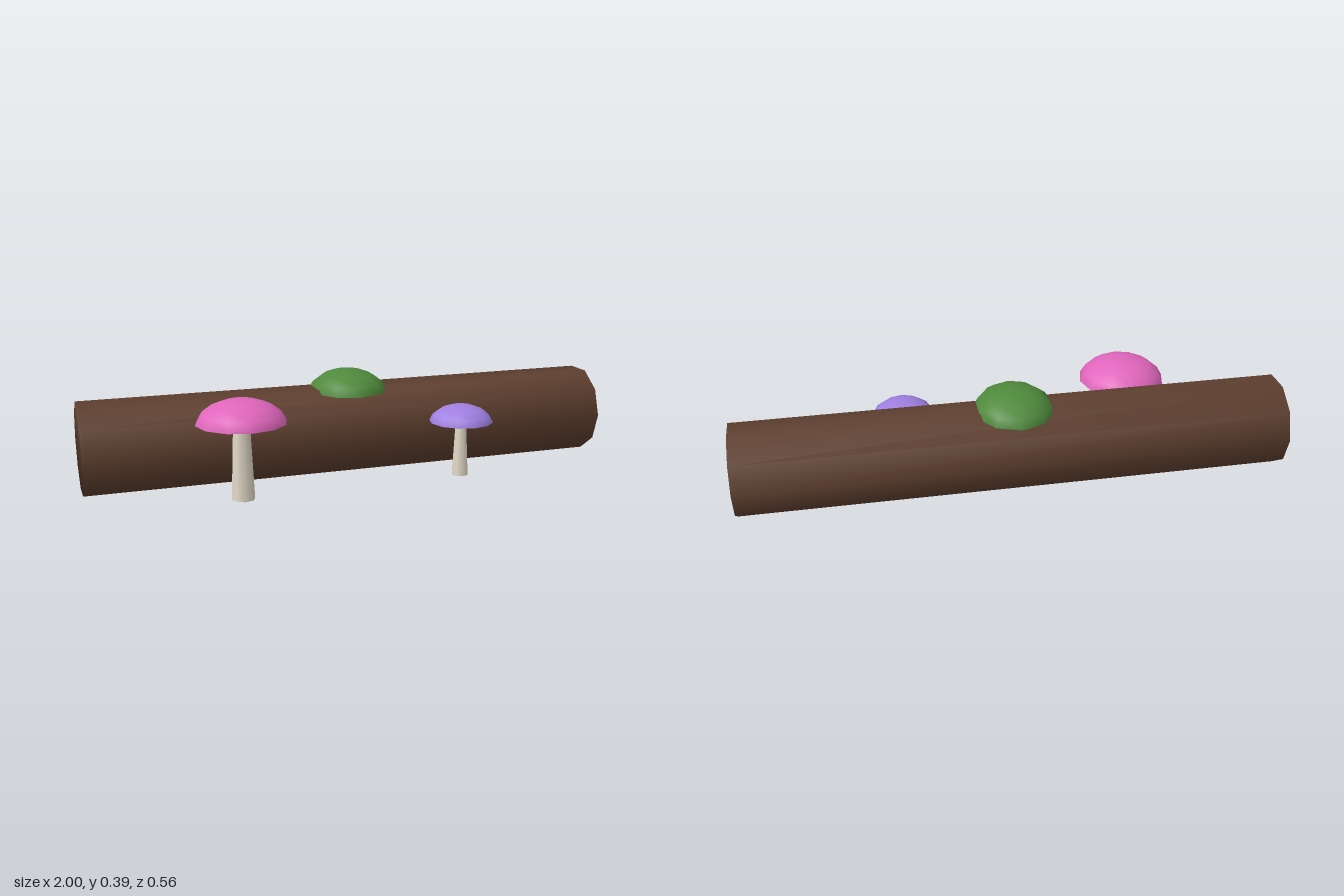
import * as THREE from 'three';
import { mergeVertices } from 'three/addons/utils/BufferGeometryUtils.js';

const mat = (name, color, side = THREE.FrontSide) => {
  const m = new THREE.MeshStandardMaterial({ color, side });
  m.name = name;
  return m;
};

// Open dome: an 81 degree cap of a sphere, its rim at y = 0
function domeGeometry(rx, rz, height, sides, spin = 0) {
  const end = Math.PI * 0.45;
  const g = new THREE.SphereGeometry(1, sides, 4, spin, Math.PI * 2, 0, end);
  g.translate(0, -Math.cos(end), 0);
  g.scale(rx / Math.sin(end), height / (1 - Math.cos(end)), rz / Math.sin(end));
  return g;
}

export function createModel() {
  const model = new THREE.Group();
  const bark = mat('bark brown', 0x5e3f2f);
  const cream = mat('stem cream', 0xe3d9c8);
  const moss = mat('moss green', 0x4f8a3c, THREE.DoubleSide);
  const pink = mat('cap pink', 0xe066bd, THREE.DoubleSide);
  const violet = mat('cap violet', 0x9f7fe0, THREE.DoubleSide);

  const add = (parent, name, geometry, material, x, y, z) => {
    const mesh = new THREE.Mesh(geometry, material);
    mesh.name = name;
    mesh.position.set(x, y, z);
    parent.add(mesh);
    return mesh;
  };

  // Ten-sided log lying along x, shaded smoothly over its ends
  const outline = [];
  for (let i = 0; i < 10; i++) {
    const a = (i / 10) * Math.PI * 2;
    outline.push(new THREE.Vector2(Math.cos(a) * 0.169, Math.sin(a) * 0.169));
  }
  let logGeometry = new THREE.ExtrudeGeometry(new THREE.Shape(outline), { depth: 2, bevelEnabled: false });
  logGeometry.translate(0, 0, -1).rotateY(Math.PI / 2);
  logGeometry.deleteAttribute('uv');
  logGeometry.deleteAttribute('normal');
  logGeometry.clearGroups();
  logGeometry = mergeVertices(logGeometry);
  logGeometry.computeVertexNormals();
  add(model, 'log', logGeometry, bark, 0, 0.17, -0.112);

  // Moss clump on top of the log
  add(model, 'mossClump', domeGeometry(0.147, 0.161, 0.079, 10, Math.PI / 2), moss, 0, 0.315, -0.111);

  // Mushrooms standing in front of the log
  const mushrooms = [
    { name: 'largeMushroom', x: -0.465, z: 0.12, stem: 0.272, top: 0.03, foot: 0.042, r: 0.162, cap: 0.084, m: pink },
    { name: 'smallMushroom', x: 0.38, z: 0.098, stem: 0.204, top: 0.021, foot: 0.032, r: 0.12, cap: 0.064, m: violet },
  ];
  for (const s of mushrooms) {
    const group = new THREE.Group();
    group.name = s.name;
    group.position.set(s.x, 0, s.z);
    add(group, 'stem', new THREE.CylinderGeometry(s.top, s.foot, s.stem, 8), cream, 0, s.stem / 2, 0);
    add(group, 'cap', domeGeometry(s.r, s.r, s.cap, 12), s.m, 0, s.stem * 1.02, 0);
    model.add(group);
  }
  return model;
}
